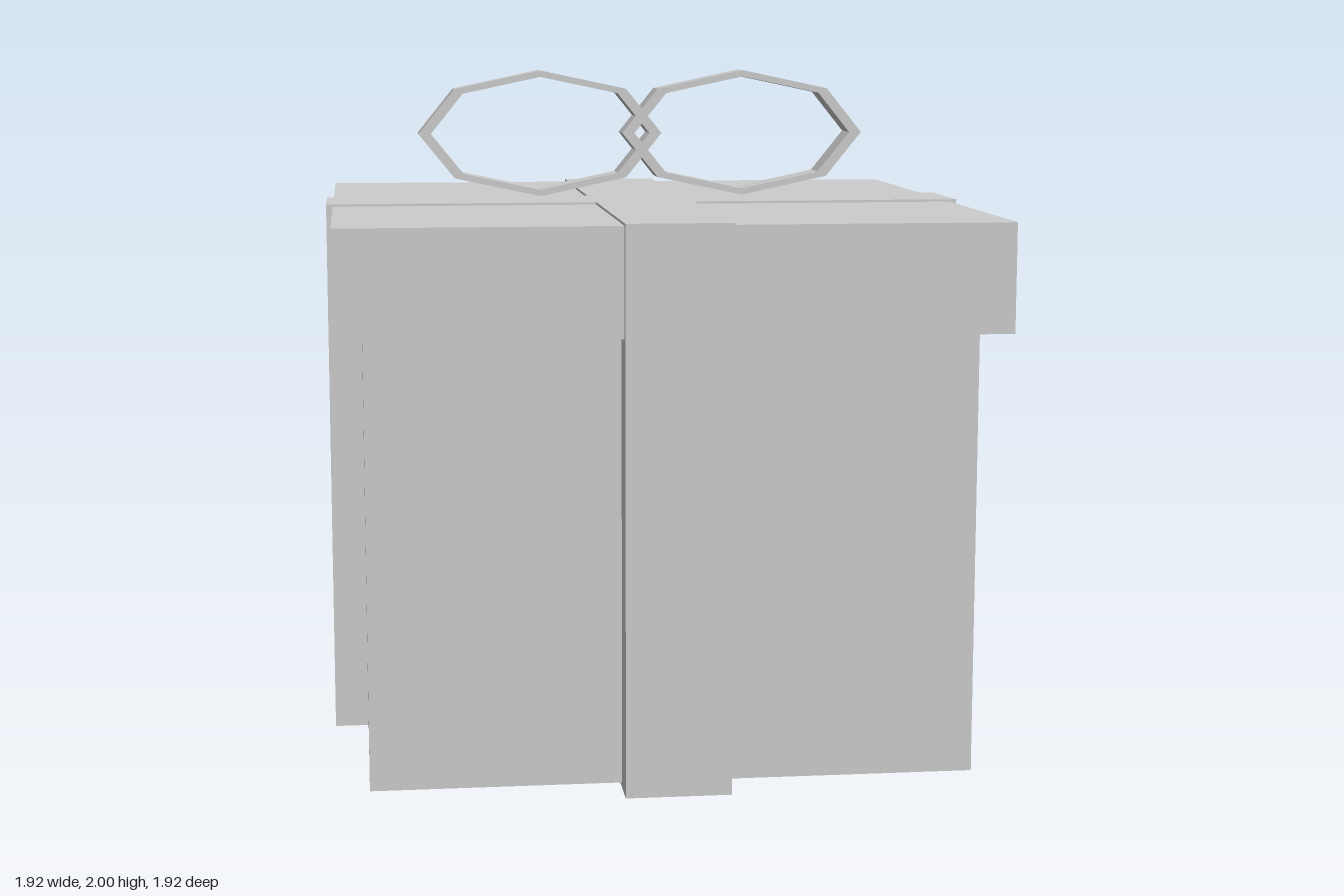
import * as THREE from 'three';

export function createModel() {
  const model = new THREE.Group();
  const grey = new THREE.MeshStandardMaterial({ color: 0xcccccc, flatShading: true });
  grey.name = 'light grey';

  const add = (name, geometry, x, y, z) => {
    const mesh = new THREE.Mesh(geometry, grey);
    mesh.name = name;
    mesh.position.set(x, y, z);
    model.add(mesh);
    return mesh;
  };

  // Box and overhanging lid
  add('boxBody', new THREE.BoxGeometry(1.72, 1.4, 1.72), 0, 0.715, 0);
  add('lid', new THREE.BoxGeometry(1.88, 0.31, 1.88), 0, 1.445, 0);

  // Crossed ribbon: a plus-shaped outline raised from the ground to just above the lid
  const w = 0.15, r = 0.96;
  const cross = new THREE.Shape([
    [w, w], [w, r], [-w, r], [-w, w], [-r, w], [-r, -w],
    [-w, -w], [-w, -r], [w, -r], [w, -w], [r, -w], [r, w],
  ].map(([x, y]) => new THREE.Vector2(x, y)));
  const ribbon = new THREE.ExtrudeGeometry(cross, { depth: 1.607, bevelEnabled: false });
  ribbon.rotateX(-Math.PI / 2);
  add('ribbon', ribbon, 0, 0, 0);

  // Bow: two flattened eight-sided loops overlapping in the middle
  const octagon = (scale) => Array.from({ length: 8 }, (_, i) => {
    const a = (i * Math.PI) / 4;
    return new THREE.Vector2(0.37 * scale * Math.cos(a), 0.19 * scale * Math.sin(a));
  });
  const loop = new THREE.Shape(octagon(1));
  loop.holes.push(new THREE.Path(octagon(0.9)));
  const loopGeometry = new THREE.ExtrudeGeometry(loop, { depth: 0.11, bevelEnabled: false });
  loopGeometry.translate(0, 0, -0.055);
  add('leftBowLoop', loopGeometry, 0.31, 1.81, 0);
  add('rightBowLoop', loopGeometry, -0.31, 1.81, 0);

  return model;
}
